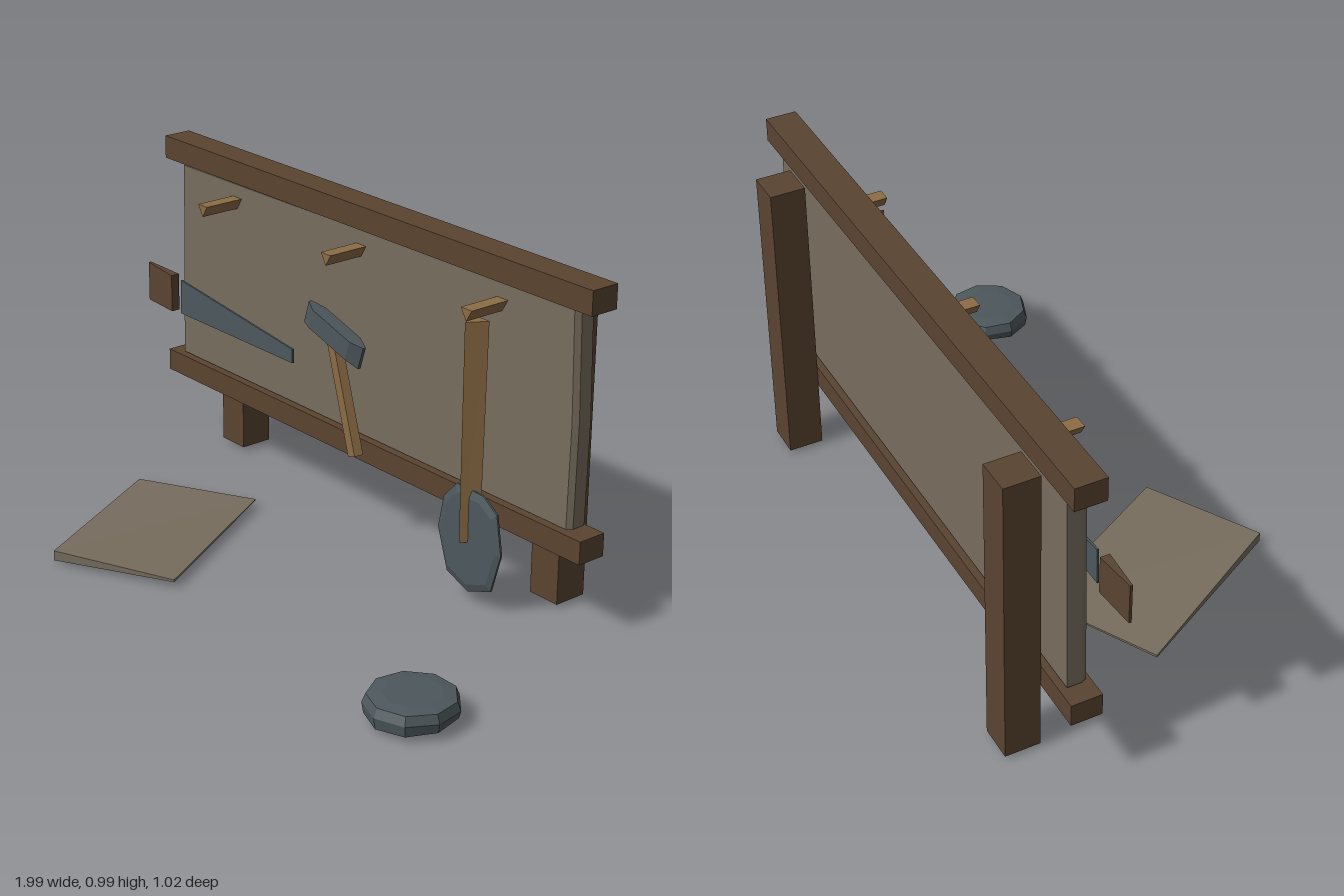
import * as THREE from 'three';

const mat = (name, color) => {
  const m = new THREE.MeshStandardMaterial({ color, flatShading: true });
  m.name = name;
  return m;
};

// Closed solid through matching loops of points, counter-clockwise seen from the last loop
function loft(loops) {
  const n = loops[0].length, idx = [], last = (loops.length - 1) * n;
  for (let s = 0; s < loops.length - 1; s++)
    for (let i = 0; i < n; i++) {
      const a = s * n + i, b = s * n + (i + 1) % n;
      idx.push(a, b, b + n, a, b + n, a + n);
    }
  for (let i = 1; i < n - 1; i++) {
    idx.push(0, i + 1, i);
    idx.push(last, last + i, last + i + 1);
  }
  const g = new THREE.BufferGeometry();
  g.setAttribute('position', new THREE.Float32BufferAttribute(loops.flat(2), 3));
  g.setIndex(idx);
  const flat = g.toNonIndexed();
  flat.computeVertexNormals();
  return flat;
}

const atZ = (pts, z) => pts.map(([x, y]) => [x, y, z]);
const atY = (pts, y) => pts.map(([x, z]) => [x, y, z]);

export function createModel() {
  const darkWood = mat('darkWood', 0x5a4430);
  const lightWood = mat('lightWood', 0x8c6c45);
  const board = mat('boardGrey', 0x776d5e);
  const metal = mat('metal', 0x4d585c);
  const root = new THREE.Group();
  root.name = 'toolRack';

  const add = (name, geo, material, parent = root) => {
    const m = new THREE.Mesh(geo, material);
    m.name = name;
    parent.add(m);
    return m;
  };
  const box = (name, x0, x1, y0, y1, z0, z1, material) =>
    add(name, new THREE.BoxGeometry(x1 - x0, y1 - y0, z1 - z0), material)
      .position.set((x0 + x1) / 2, (y0 + y1) / 2, (z0 + z1) / 2);
  const group = (name) => {
    const g = new THREE.Group();
    g.name = name;
    root.add(g);
    return g;
  };

  // Frame
  box('topRail', -1, 0.825, 0.922, 0.992, -0.41, -0.32, darkWood);
  box('bottomRail', -1, 0.825, 0.222, 0.29, -0.41, -0.32, darkWood);
  for (const x of [-0.788, 0.612])
    box('post', x - 0.052, x + 0.052, 0.012, 0.912, -0.513, -0.41, darkWood);

  // Panel with slightly uneven, bevelled ends
  const panel = [[-0.945, 0.297], [0.768, 0.297], [0.772, 0.6], [0.762, 0.918], [-0.932, 0.912]];
  const inset = panel.map(([x, y]) => [x + (x < 0 ? 0.006 : -0.012), y]);
  add('panel', loft([atZ(panel, -0.392), atZ(panel, -0.35), atZ(inset, -0.335)]), board);

  // Three-sided pegs
  for (const x of [-0.66, -0.09, 0.485]) {
    const tri = [[x - 0.021, 0.873], [x, 0.838], [x + 0.021, 0.873]];
    add('peg', loft([atZ(tri, -0.335), atZ(tri, -0.205)]), lightWood);
  }

  // Saw
  const saw = group('saw');
  const blade = [[-0.82, 0.482], [-0.275, 0.482], [-0.275, 0.525], [-0.815, 0.59]];
  add('sawBlade', loft([atZ(blade, -0.241), atZ(blade, -0.235)]), metal, saw);
  const gripLoop = (x, y0, y1, h) =>
    [[x, y0, -0.238 - h], [x, y1, -0.238 - h], [x, y1, -0.238 + h], [x, y0, -0.238 + h]];
  add('sawHandle', loft([gripLoop(-0.982, 0.482, 0.605, 0.004),
    gripLoop(-0.85, 0.482, 0.598, 0.014)]), darkWood, saw);

  // Hammer
  const hammer = group('hammer');
  const headLoop = (w, lo, hi, z) => atZ([[-w, lo], [w, lo], [w, hi], [-w, hi]], z);
  const head = add('hammerHead', loft([headLoop(0.08, -0.03, 0.035, -0.023),
    headLoop(0.126, -0.036, 0.036, -0.005), headLoop(0.126, -0.036, 0.036, 0.005),
    headLoop(0.085, -0.026, 0.036, 0.023)]), metal, hammer);
  head.position.set(-0.12, 0.61, -0.265);
  head.rotation.z = -0.3;
  const shaft = (w) => [[-w, -0.013], [-w, 0.013], [w * 0.6, 0.013], [w, -0.013]];
  const hammerHandle = add('hammerHandle',
    loft([atY(shaft(0.019), -0.175), atY(shaft(0.018), 0.18)]), lightWood, hammer);
  hammerHandle.position.set(-0.075, 0.432, -0.267);
  hammerHandle.rotation.z = 0.296;

  // Shovel: three-sided handle and a thin lens-shaped blade
  const shovel = group('shovel');
  add('shovelHandle', loft([
    atY([[0.47, -0.262], [0.475, -0.213], [0.505, -0.262]], 0.19),
    atY([[0.455, -0.27], [0.473, -0.213], [0.506, -0.27]], 0.83)]), lightWood, shovel);
  const outline = [[-0.055, 0.155], [-0.105, 0.1], [-0.125, 0.0], [-0.085, -0.12], [0, -0.153],
    [0.09, -0.12], [0.125, 0.0], [0.105, 0.115], [0.05, 0.152]];
  const bladeLoop = (s, z) => atZ(outline.map(([x, y]) => [0.485 + x * s, 0.19 + y * s]), z);
  add('shovelBlade', loft([bladeLoop(0.85, -0.255), bladeLoop(1, -0.247),
    bladeLoop(1, -0.241), bladeLoop(0.85, -0.234)]), metal, shovel);

  // Loose sheet on the ground, with one thicker corner
  const corners = [[-0.435, 0.51, 0.012, 0.042], [-0.095, 0.335, 0.02, 0.027],
    [-0.375, -0.175, 0.024, 0.028], [-0.715, 0.01, 0.02, 0.028]];
  add('sheet', loft([2, 3].map((k) => corners.map((c) => [c[0], c[k], c[1]]))), board);

  // Round weight, lower on one side
  const profile = [[0, 0], [0.085, 0], [0.123, 0.018], [0.128, 0.05], [0.118, 0.075], [0.08, 0.08], [0, 0.08]]
    .map(([r, y]) => new THREE.Vector2(r, y));
  const puck = new THREE.LatheGeometry(profile, 9);
  const p = puck.attributes.position;
  for (let i = 0; i < p.count; i++)
    if (p.getY(i) < 0.03) p.setY(i, p.getY(i) + 0.008 - 0.07 * p.getZ(i));
  puck.computeVertexNormals();
  add('weight', puck, metal).position.set(0.867, 0, 0.302);

  return root;
}
